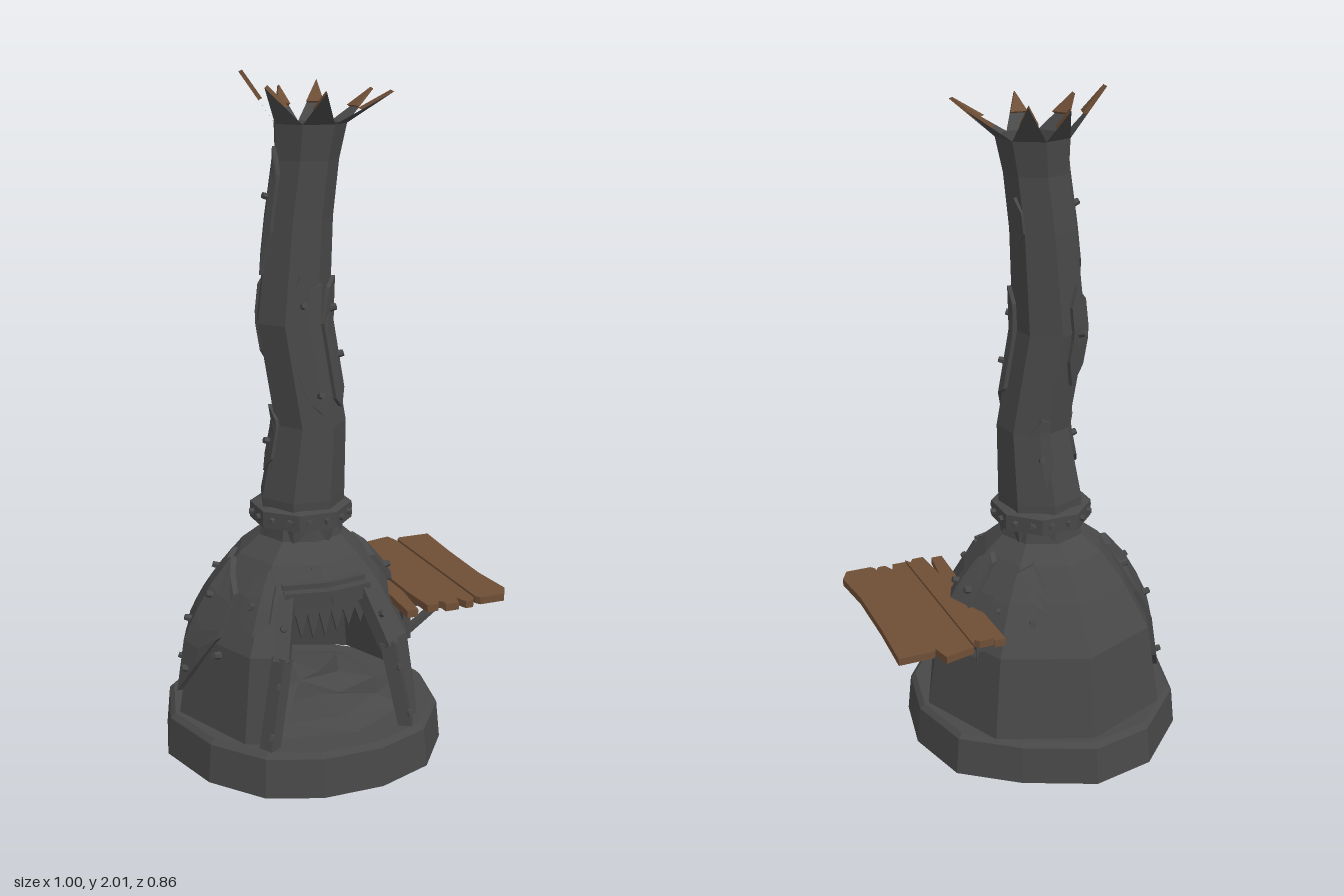
import * as THREE from 'three';

const V = (x, y, z) => new THREE.Vector3(x, y, z);
const DEG = Math.PI / 180;

export function createModel() {
  const model = new THREE.Group();
  const iron = new THREE.MeshStandardMaterial({ color: 0x484848, side: THREE.DoubleSide });
  iron.name = 'dark iron';
  const wood = new THREE.MeshStandardMaterial({ color: 0x6e4e36, side: THREE.DoubleSide });
  wood.name = 'brown wood';

  const add = (name, geo, mat = iron, parent = model) => {
    const flat = geo.index ? geo.toNonIndexed() : geo;
    flat.computeVertexNormals();
    const mesh = new THREE.Mesh(flat, mat);
    mesh.name = name;
    parent.add(mesh);
    return mesh;
  };
  const group = (name) => {
    const g = new THREE.Group();
    g.name = name;
    model.add(g);
    return g;
  };

  // Flat-faced sheet through rows of points (rows go up, points go from +x to +z)
  const sheet = (rows) => {
    const pts = [];
    for (let i = 0; i + 1 < rows.length; i++)
      for (let j = 0; j + 1 < rows[i].length; j++) {
        const a = rows[i][j], b = rows[i][j + 1], c = rows[i + 1][j + 1], d = rows[i + 1][j];
        pts.push(a, d, c, a, c, b);
      }
    return new THREE.BufferGeometry().setFromPoints(pts);
  };

  // Many-sided column: profile rows are [y, centreX, centreZ, radius]
  const column = (profile, n, phase) => (deg, y, off = 0) => {
    let k = 0;
    while (k < profile.length - 2 && y > profile[k + 1][0]) k++;
    const p = profile[k], q = profile[k + 1];
    const t = (y - p[0]) / (q[0] - p[0]);
    const [cx, cz, r] = [1, 2, 3].map((m) => p[m] + (q[m] - p[m]) * t);
    const step = 360 / n;
    const local = ((((deg - phase) % step) + step) % step) - step / 2;
    const rad = (r * Math.cos((step / 2) * DEG)) / Math.cos(local * DEG) + off;
    return V(cx + rad * Math.cos(deg * DEG), y, cz + rad * Math.sin(deg * DEG));
  };

  // Raised plate on a column: cols are [angle, yLow, yHigh]
  const plate = (name, surf, cols, off, parent) => {
    const m = 5, rows = [];
    for (let i = -1; i <= m + 1; i++) {
      const row = [];
      for (let j = -1; j <= cols.length; j++) {
        const edge = i < 0 || i > m || j < 0 || j === cols.length;
        const c = cols[Math.min(Math.max(j, 0), cols.length - 1)];
        const t = Math.min(Math.max(i, 0), m) / m;
        row.push(surf(c[0], c[1] + (c[2] - c[1]) * t, edge ? -0.01 : off));
      }
      rows.push(row);
    }
    add(name, sheet(rows), iron, parent);
  };

  const bolt = (pos, dir, parent, r = 0.012) => {
    const mesh = add('bolt', new THREE.CylinderGeometry(r * 0.8, r, 0.025, 6), iron, parent);
    mesh.position.copy(pos);
    mesh.quaternion.setFromUnitVectors(V(0, 1, 0), dir.clone().normalize());
  };
  const surfaceBolt = (surf, deg, y, off, parent) => {
    const p = surf(deg, y, off);
    bolt(p, surf(deg, y, off + 1).sub(p).add(V(0, 0.3, 0)), parent);
  };
  const beam = (name, a, b, w, h, parent, mat = iron) => {
    const mesh = add(name, new THREE.BoxGeometry(w, h, a.distanceTo(b) + w * 0.4), mat, parent);
    mesh.position.copy(a).lerp(b, 0.5);
    mesh.lookAt(b);
  };

  // Uneven stone base
  const outline = [[0.35, 0], [0.31, 0.2], [0.19, 0.36], [0.02, 0.425], [-0.165, 0.425], [-0.32, 0.365],
    [-0.44, 0.215], [-0.5, 0], [-0.44, -0.215], [-0.26, -0.39], [-0.065, -0.43], [0.14, -0.335], [0.3, -0.21], [0.35, 0]];
  const baseRows = [[0, 0], [1, 0], [0.975, 0.115], [0.94, 0.13], [0, 0.13]].map(([s, y]) =>
    outline.map(([x, z]) => V(-0.075 + (x + 0.075) * s, y, z * s)));
  add('base', sheet(baseRows));

  // Furnace dome, open at the front
  const dome = column([[0.13, -0.075, 0, 0.385], [0.38, -0.075, 0, 0.347], [0.52, -0.075, 0, 0.265],
    [0.61, -0.075, 0, 0.19], [0.66, -0.07, 0, 0.13], [0.72, -0.07, 0, 0.12]], 8, 0);
  const ring = (jamb) => [90 + jamb, 135, 180, 225, 270, 315, 360, 405, 450 - jamb];
  const lower = [[0.13, 0.385, 0.2], [0.38, 0.347, 0.145], [0.52, 0.265, 0.11]].map(([y, r, h]) =>
    ring(Math.atan2(h, r - 0.414 * h) / DEG).map((a) => dome(a, y)));
  add('domeWall', sheet(lower));
  add('domeTop', sheet([0.52, 0.61, 0.66, 0.72].map((y) => ring(0).map((a) => dome(a, y)))));

  // Ash bed inside the furnace
  const bump = (i, k) => Math.sin(i * 2.7 + k * 4.1);
  const ash = [[0.335, 0.128, 0], [0.25, 0.15, 0.02], [0.13, 0.16, 0.015], [0, 0.165, 0]].map(([r, y, j], k) =>
    Array.from({ length: 10 }, (_, i) => {
      const a = i * 40 * DEG;
      return V(-0.075 + r * Math.cos(a), y + j * bump(i % 9, k), r * Math.sin(a));
    }));
  add('ashBed', sheet(ash));

  // Door frame, lintel and hanging teeth
  const frame = group('doorFrame');
  for (const s of [-1, 1]) {
    const P = (x, y, z) => V(-0.075 + s * x, y, z);
    const pts = [P(0.215, 0.12, 0.32), P(0.165, 0.38, 0.292), P(0.12, 0.53, 0.215)];
    beam('doorPostLower', pts[0], pts[1], 0.045, 0.04, frame);
    beam('doorPostUpper', pts[1], pts[2], 0.045, 0.04, frame);
    beam('lintel', pts[2], P(0, 0.535, 0.25), 0.04, 0.045, frame);
    beam('lintelLip', P(0.12, 0.56, 0.19), P(0, 0.565, 0.222), 0.03, 0.015, frame);
    for (const t of [0.2, 0.75])
      bolt(pts[0].clone().lerp(pts[1], t).add(V(s * 0.008, 0, 0.022)), V(s * 0.3, 0.1, 1), frame);
    bolt(pts[1].clone().lerp(pts[2], 0.5).add(V(s * 0.01, 0.012, 0.02)), V(s * 0.3, 0.5, 1), frame);
  }
  const teeth = new THREE.Shape();
  teeth.moveTo(-0.13, 0.53);
  for (let i = 0; i <= 14; i++)
    teeth.lineTo(-0.13 + (i * 0.26) / 14, i % 2 ? 0.41 + 0.015 * bump(i, 1) : 0.475);
  teeth.lineTo(0.13, 0.53);
  add('teeth', new THREE.ExtrudeGeometry(teeth, { depth: 0.012, bevelEnabled: false }), iron, frame)
    .position.set(-0.075, 0, 0.2);

  // Riveted repair plates on the dome
  const repairs = group('domePlates');
  const domePlates = [
    [[158, 0.4, 0.52], [170, 0.3, 0.56], [180, 0.2, 0.6], [192, 0.21, 0.58], [204, 0.18, 0.6], [212, 0.24, 0.46]],
    [[292, 0.43, 0.56], [303, 0.4, 0.62], [315, 0.42, 0.6], [328, 0.38, 0.55]],
    [[343, 0.48, 0.6], [352, 0.45, 0.62], [360, 0.44, 0.6], [371, 0.48, 0.56]],
    [[128, 0.47, 0.56], [135, 0.44, 0.6], [147, 0.46, 0.57]],
  ];
  domePlates.forEach((cols) => plate('domePlate', dome, cols, 0.018, repairs));
  for (const [a, y] of [[176, 0.28], [176, 0.5], [205, 0.24], [205, 0.54], [191, 0.4], [300, 0.48], [322, 0.5],
    [350, 0.52], [366, 0.52], [140, 0.51], [155, 0.36]])
    surfaceBolt(dome, a, y, 0.022, repairs);
  plate('domeChip', dome, [[84, 0.59, 0.595], [92, 0.585, 0.605], [100, 0.6, 0.605]], 0.01, repairs);

  // Bent chimney pipe
  const pipe = column([[0.64, -0.07, 0, 0.125], [0.78, -0.07, 0.005, 0.13], [1.0, -0.05, 0.018, 0.11],
    [1.3, -0.095, 0, 0.11], [1.6, -0.07, -0.004, 0.098], [1.76, -0.05, 0, 0.095], [1.86, -0.04, 0, 0.108]], 7, -33.7);
  const corner = (i) => -33.7 + (i * 360) / 7;
  add('chimney', sheet([0.64, 0.78, 1.0, 1.3, 1.6, 1.76, 1.86].map((y) =>
    Array.from({ length: 8 }, (_, i) => pipe(corner(i), y)))));

  // Bolted collar
  const collar = group('collar');
  const band = column([[0.69, -0.07, 0.003, 0.152], [0.76, -0.07, 0.003, 0.152]], 8, 22.5);
  const bandRows = [[0.695, -0.04], [0.7, 0], [0.75, 0], [0.758, -0.04]].map(([y, off]) =>
    Array.from({ length: 9 }, (_, i) => band(22.5 + i * 45, y, off)));
  add('collarBand', sheet(bandRows), iron, collar);
  for (let i = 0; i < 16; i++) {
    const p = band(i * 22.5 + 11.25, 0.726);
    bolt(p, band(i * 22.5 + 11.25, 0.726, 1).sub(p), collar, 0.011);
  }

  // Patches on the chimney
  const patches = group('chimneyPatches');
  const pipePlates = [
    [[68, 1.1, 1.42], [85, 1.04, 1.4], [103, 1.08, 1.44], [118, 1.2, 1.36]],
    [[5, 1.12, 1.38], [18, 1.1, 1.43], [38, 1.05, 1.4], [55, 1.08, 1.3]],
    [[160, 1.56, 1.72], [172, 1.44, 1.8], [190, 1.5, 1.76]],
    [[165, 0.9, 1.02], [180, 0.86, 1.06], [205, 0.9, 1.03]],
    [[270, 0.9, 1.04], [285, 0.84, 1.05], [305, 0.88, 0.99]],
    [[325, 1.6, 1.66], [340, 1.57, 1.7], [352, 1.62, 1.67]],
    [[225, 1.2, 1.4], [240, 1.14, 1.44], [255, 1.22, 1.38]],
  ];
  pipePlates.forEach((cols) => plate('chimneyPatch', pipe, cols, 0.012, patches));
  for (const [a, y] of [[85, 1.1], [95, 1.36], [20, 1.2], [30, 1.34], [180, 0.95], [285, 0.93], [240, 1.3], [176, 1.66]])
    surfaceBolt(pipe, a, y, 0.015, patches);

  // Torn crown: iron petals with rusty brown tips
  const crown = group('crown');
  const tips = [[0.18, 1.95, -0.05], [0.145, 1.95, 0.17], [-0.07, 1.95, 0.21], [-0.19, 1.96, 0.05],
    [-0.21, 2.0, -0.11], [-0.06, 1.955, -0.2], [0.06, 1.97, -0.19]];
  tips.forEach((t, i) => {
    const T = V(...t), A = pipe(corner(i), 1.86), B = pipe(corner(i + 1), 1.86);
    const M = A.clone().lerp(T, 0.45), N = B.clone().lerp(T, 0.45);
    const inward = V(-0.04 - t[0], 0.1, -t[2]).setLength(0.012);
    const [Mi, Ni, Ti] = [M, N, T].map((p) => p.clone().add(inward));
    add('petal', sheet([[A, B], [M, N], [T, T]]), iron, crown);
    add('petalTip', sheet([[M, N], [Mi, Ni], [Ti, Ti]]), wood, crown);
    add('petalEdge', sheet([[M, T, N], [Mi, Ti, Ni]]), wood, crown);
  });

  // Side shelf of rough planks, outlines in x and z
  const shelf = group('shelf');
  const planks = [
    [0.45, [[0.15, 0.295], [0.185, 0.295], [0.205, 0.15], [0.205, -0.285], [0.17, -0.285], [0.17, -0.1]]],
    [0.458, [[0.207, 0.17], [0.215, 0.295], [0.25, 0.295], [0.262, 0.275], [0.274, 0.295], [0.274, -0.295], [0.262, -0.27], [0.25, -0.285], [0.207, -0.285]]],
    [0.452, [[0.275, 0.295], [0.318, 0.295], [0.328, 0.258], [0.342, 0.295], [0.365, 0.295], [0.378, 0.275], [0.378, -0.27], [0.366, -0.32], [0.275, -0.298]]],
    [0.457, [[0.38, 0.28], [0.39, 0.295], [0.47, 0.295], [0.495, 0.25], [0.483, 0.11], [0.487, -0.1], [0.497, -0.285], [0.39, -0.285], [0.38, -0.27]]],
  ];
  for (const [y, pts] of planks) {
    const shape = new THREE.Shape(pts.map(([x, z]) => new THREE.Vector2(x, -z)));
    const geo = new THREE.ExtrudeGeometry(shape, { depth: 0.022, bevelEnabled: false });
    add('plank', geo.rotateX(-Math.PI / 2), wood, shelf).position.y = y;
  }

  // Shelf brackets
  for (const z of [0.175, -0.15]) {
    beam('bracketArm', V(0.18, 0.443, z), V(0.45, 0.443, z), 0.022, 0.016, shelf);
    beam('bracketStrut', V(0.19, 0.345, z), V(0.32, 0.438, z), 0.022, 0.018, shelf);
    beam('bracketFoot', V(0.2, 0.34, z), V(0.2, 0.43, z), 0.025, 0.025, shelf);
  }
  return model;
}
